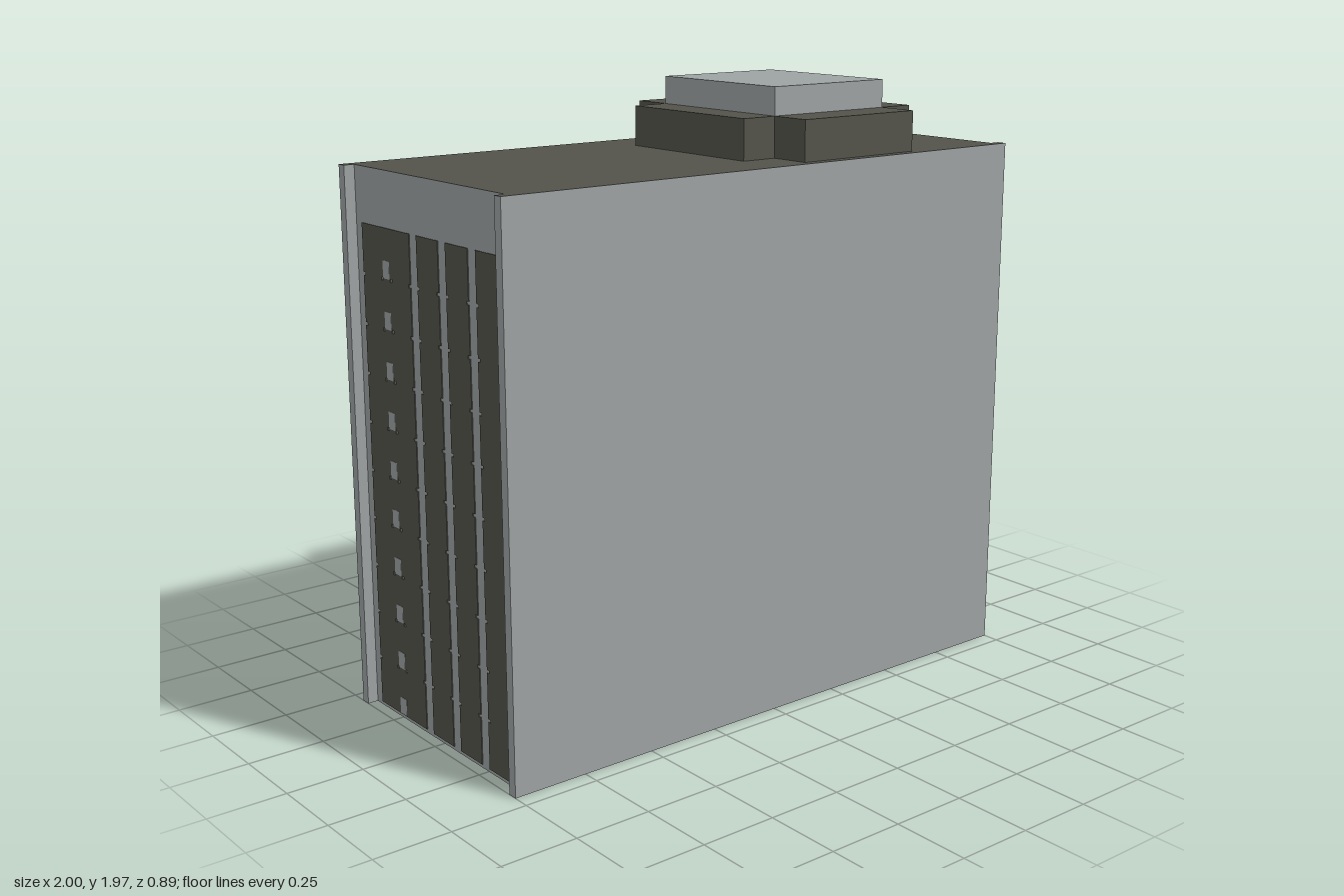
import * as THREE from 'three';

const concrete = new THREE.MeshStandardMaterial({ color: 0x9da2a2, side: THREE.DoubleSide });
concrete.name = 'light concrete';
const dark = new THREE.MeshStandardMaterial({ color: 0x53534b, side: THREE.DoubleSide });
dark.name = 'dark grey';

const H = 1.75, X = 0.965, Z = 0.445, ZI = 0.413, PANE = 0.1565;

function add(parent, name, geometry, material, x = 0, y = 0, z = 0) {
  const mesh = new THREE.Mesh(geometry, material);
  mesh.name = name;
  mesh.position.set(x, y, z);
  parent.add(mesh);
  return mesh;
}

const toShape = (pts) => new THREE.Shape(pts.map(([x, y]) => new THREE.Vector2(x, y)));

// Window column with a small notch on both edges at every floor joint
function columnGeometry(width, notched) {
  const w = width / 2, right = [[w, 0.012]], d = 0.011, t = 0.005;
  if (notched) {
    for (let i = 1; i < 10; i++) {
      const y = 0.012 + i * PANE;
      right.push([w, y - t], [w - d, y - t], [w - d, y + t], [w, y + t]);
    }
  }
  right.push([w, 1.577]);
  const left = right.map(([x, y]) => [-x, y]).reverse();
  const g = new THREE.ExtrudeGeometry(toShape([...right, ...left]), { depth: 0.006, bevelEnabled: false });
  return g.translate(0, 0, -0.003);
}

export function createModel() {
  const model = new THREE.Group();
  model.name = 'apartmentBlock';

  // Plan outline: long slabs at front and back overhang the end walls
  const outline = [
    [-1, -Z], [1, -Z], [1, -ZI], [X, -ZI], [X, ZI], [1, ZI],
    [1, Z], [-1, Z], [-1, ZI], [-X, ZI], [-X, -ZI], [-1, -ZI],
  ];

  // Walls follow the outline; the shell is open below
  const walls = new THREE.Group();
  walls.name = 'walls';
  model.add(walls);
  outline.forEach(([x0, z0], i) => {
    const [x1, z1] = outline[(i + 1) % outline.length];
    const dx = x1 - x0, dz = z1 - z0;
    const wall = add(walls, 'wall', new THREE.PlaneGeometry(Math.hypot(dx, dz), H),
      concrete, (x0 + x1) / 2, H / 2, (z0 + z1) / 2);
    wall.rotation.y = Math.atan2(-dx, dz) + Math.PI;
    wall.rotation.y = Math.atan2(dz, -dx);
  });

  // Flat roof
  const roof = add(model, 'roof', new THREE.ShapeGeometry(toShape(outline)), dark, 0, H, 0);
  roof.rotation.x = -Math.PI / 2;

  // Five window columns on each end wall
  const column = columnGeometry(0.118, true);
  for (const side of [-1, 1]) {
    const windows = new THREE.Group();
    windows.name = side > 0 ? 'leftWindows' : 'rightWindows';
    for (let i = -2; i <= 2; i++) {
      const mesh = add(windows, 'windowColumn', column, dark, side * X, 0, i * 0.159);
      mesh.rotation.y = side * Math.PI / 2;
    }
    model.add(windows);
  }

  // Joined rear columns on the right end, with small light panels between
  const filler = add(model, 'windowInfill', columnGeometry(0.041, false), dark, -X, 0, -0.2385);
  filler.rotation.y = -Math.PI / 2;
  for (let i = 0; i < 10; i++) {
    add(model, 'infillPanel', new THREE.BoxGeometry(0.008, 0.055, 0.038), concrete,
      -X, 0.042 + i * PANE, -0.2385);
  }

  // Cross-shaped plant room on the roof
  const [a, b, c, d] = [0, 0.125, 0.59, 0.715];
  const [p, q] = [0.273, 0.413];
  const cross = toShape([
    [a, -p], [b, -p], [b, -q], [c, -q], [c, -p], [d, -p],
    [d, p], [c, p], [c, q], [b, q], [b, p], [a, p],
  ]);
  const plant = add(model, 'plantRoom',
    new THREE.ExtrudeGeometry(cross, { depth: 0.13, bevelEnabled: false }), dark, 0, H, 0);
  plant.rotation.x = -Math.PI / 2;
  add(model, 'plantRoomTop', new THREE.BoxGeometry(c - b, 0.09, 2 * p), concrete,
    (b + c) / 2, 1.925, 0);

  return model;
}
